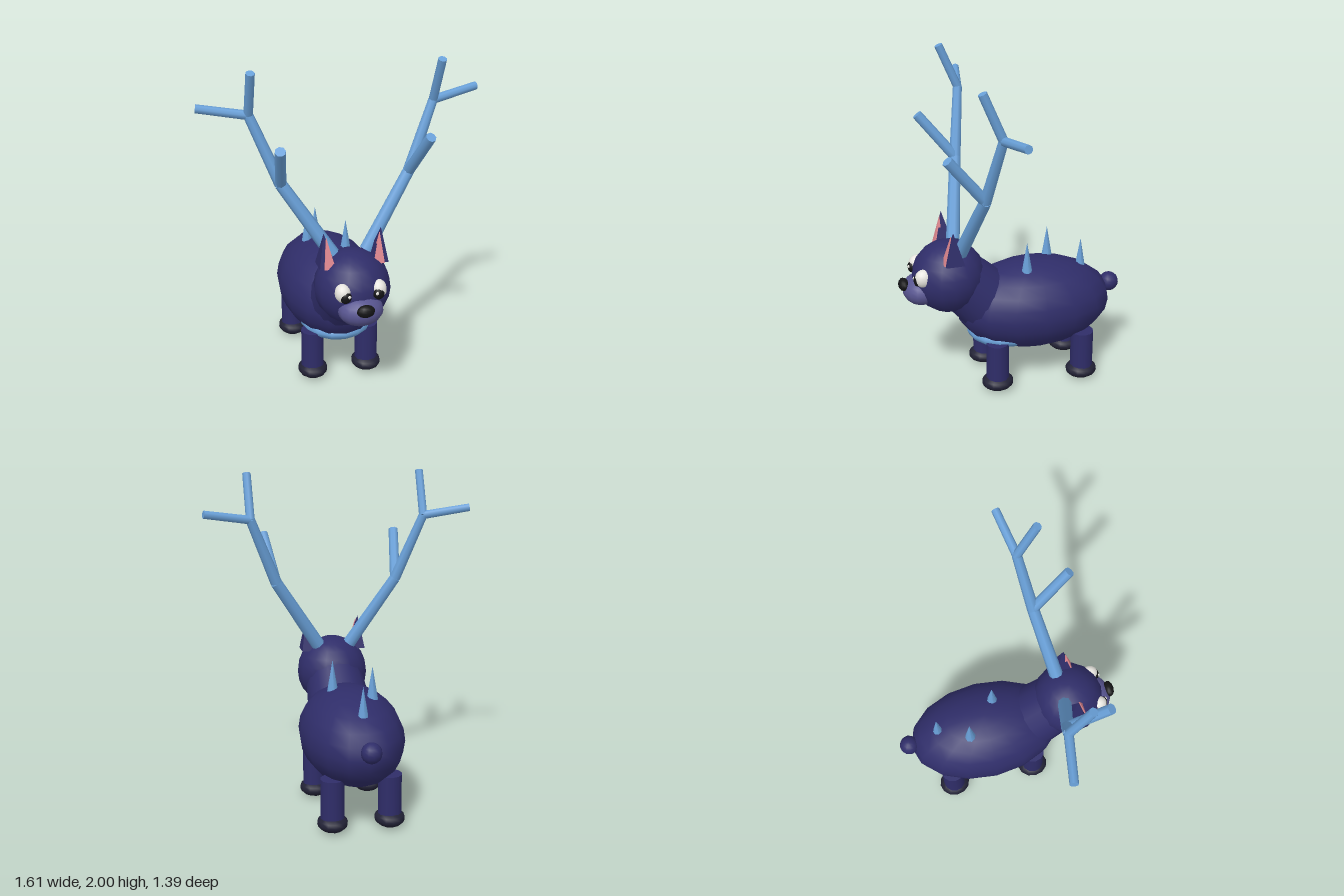
import * as THREE from 'three';

const mat = (name, color) => {
  const m = new THREE.MeshStandardMaterial({ color });
  m.name = name;
  return m;
};

export function createModel() {
  const model = new THREE.Group();
  model.name = 'antleredCreature';

  const fur = mat('navyFur', 0x2f2d69);
  const ice = mat('iceBlue', 0x69a0d8);
  const muzzleFur = mat('paleMuzzle', 0x57548f);
  const hoof = mat('darkHoof', 0x222236);
  const black = mat('black', 0x141416);
  const white = mat('eyeWhite', 0xf0eee8);
  const pink = mat('innerEarPink', 0xe08890);

  const add = (name, geometry, material, parent = model) => {
    const mesh = new THREE.Mesh(geometry, material);
    mesh.name = name;
    parent.add(mesh);
    return mesh;
  };

  // Ellipsoid with given centre and radii
  const ball = (name, material, pos, radii, w = 16, h = 12, parent = model) => {
    const mesh = add(name, new THREE.SphereGeometry(1, w, h), material, parent);
    mesh.position.set(...pos);
    mesh.scale.set(...radii);
    return mesh;
  };

  // Tapered rod between two points
  const rod = (name, material, from, to, r0, r1, sides = 8, parent = model) => {
    const a = new THREE.Vector3(...from);
    const b = new THREE.Vector3(...to);
    const dir = b.clone().sub(a);
    const mesh = add(name, new THREE.CylinderGeometry(r1, r0, dir.length(), sides), material, parent);
    mesh.position.copy(a).add(b).multiplyScalar(0.5);
    mesh.quaternion.setFromUnitVectors(new THREE.Vector3(0, 1, 0), dir.normalize());
    return mesh;
  };

  // Four-sided ear with its base corners set square to the front
  const ear = (name, material, base, tip, hx, hz, parent) => {
    const [bx, by, bz] = base;
    const corners = [[-hx, hz], [hx, hz], [hx, -hz], [-hx, -hz]]
      .map(([x, z]) => [bx + x, by, bz + z]);
    const points = [];
    corners.forEach((c, i) => points.push(...c, ...corners[(i + 1) % 4], ...tip));
    const geometry = new THREE.BufferGeometry();
    geometry.setAttribute('position', new THREE.Float32BufferAttribute(points, 3));
    geometry.computeVertexNormals();
    return add(name, geometry, material, parent);
  };

  // Trunk, neck, head
  ball('body', fur, [0, 0.49, -0.14], [0.305, 0.28, 0.485]);
  ball('bellyPatch', ice, [0, 0.335, 0.04], [0.22, 0.085, 0.24]);
  rod('neck', fur, [0, 0.52, 0.14], [0, 0.7, 0.32], 0.2, 0.18, 16);
  ball('head', fur, [0, 0.735, 0.39], [0.22, 0.22, 0.22]);
  ball('muzzle', muzzleFur, [0, 0.67, 0.56], [0.13, 0.09, 0.108]);
  ball('nose', black, [0, 0.71, 0.66], [0.052, 0.037, 0.032], 12, 8);
  ball('tail', fur, [0, 0.55, -0.635], [0.06, 0.06, 0.06], 12, 10);

  // Back spikes
  for (const [x, y, z] of [[0.095, 0.93, -0.07], [-0.1, 0.93, -0.255], [0, 0.87, -0.44]]) {
    rod('backSpike', ice, [x, y - 0.22, z], [x, y, z], 0.038, 0, 8);
  }

  for (const s of [1, -1]) {
    const side = s > 0 ? 'left' : 'right';

    // Legs and feet
    for (const [end, z] of [['Front', 0.135], ['Back', -0.405]]) {
      rod(`${side}${end}Leg`, fur, [s * 0.17, 0.05, z], [s * 0.17, 0.325, z], 0.07, 0.07, 12);
      ball(`${side}${end}Foot`, hoof, [s * 0.17, 0.055, z], [0.09, 0.052, 0.098], 12, 8);
    }

    // Eye with pupil and glint
    const eye = new THREE.Group();
    eye.name = `${side}Eye`;
    model.add(eye);
    ball('eyeball', white, [s * 0.103, 0.785, 0.558], [0.046, 0.055, 0.052], 12, 10, eye);
    ball('pupil', black, [s * 0.095, 0.773, 0.594], [0.033, 0.035, 0.022], 12, 8, eye);
    ball('glint', white, [s * 0.08, 0.783, 0.612], [0.01, 0.01, 0.006], 8, 6, eye);

    // Ear with pink inside
    const earGroup = new THREE.Group();
    earGroup.name = `${side}Ear`;
    model.add(earGroup);
    ear('outerEar', fur, [s * 0.152, 0.88, 0.385], [s * 0.166, 1.08, 0.39], 0.048, 0.055, earGroup);
    ear('innerEar', pink, [s * 0.143, 0.88, 0.422], [s * 0.155, 1.06, 0.402], 0.032, 0.026, earGroup);

    // Antler: two-part beam with three tines
    const antler = new THREE.Group();
    antler.name = `${side}Antler`;
    model.add(antler);
    const root = [s * 0.1, 0.92, 0.335];
    const fork = [s * 0.37, 1.34, 0.25];
    const crown = [s * 0.525, 1.73, 0.19];
    rod('lowerBeam', ice, root, fork, 0.042, 0.035, 8, antler);
    rod('upperBeam', ice, fork, crown, 0.035, 0.028, 8, antler);
    rod('frontTine', ice, fork, [s * 0.415, 1.61, 0.465], 0.032, 0.03, 8, antler);
    rod('upperTine', ice, crown, [s * 0.527, 1.99, 0.3], 0.026, 0.025, 8, antler);
    rod('outerTine', ice, crown, [s * 0.8, 1.775, 0.14], 0.026, 0.024, 8, antler);
  }

  return model;
}
